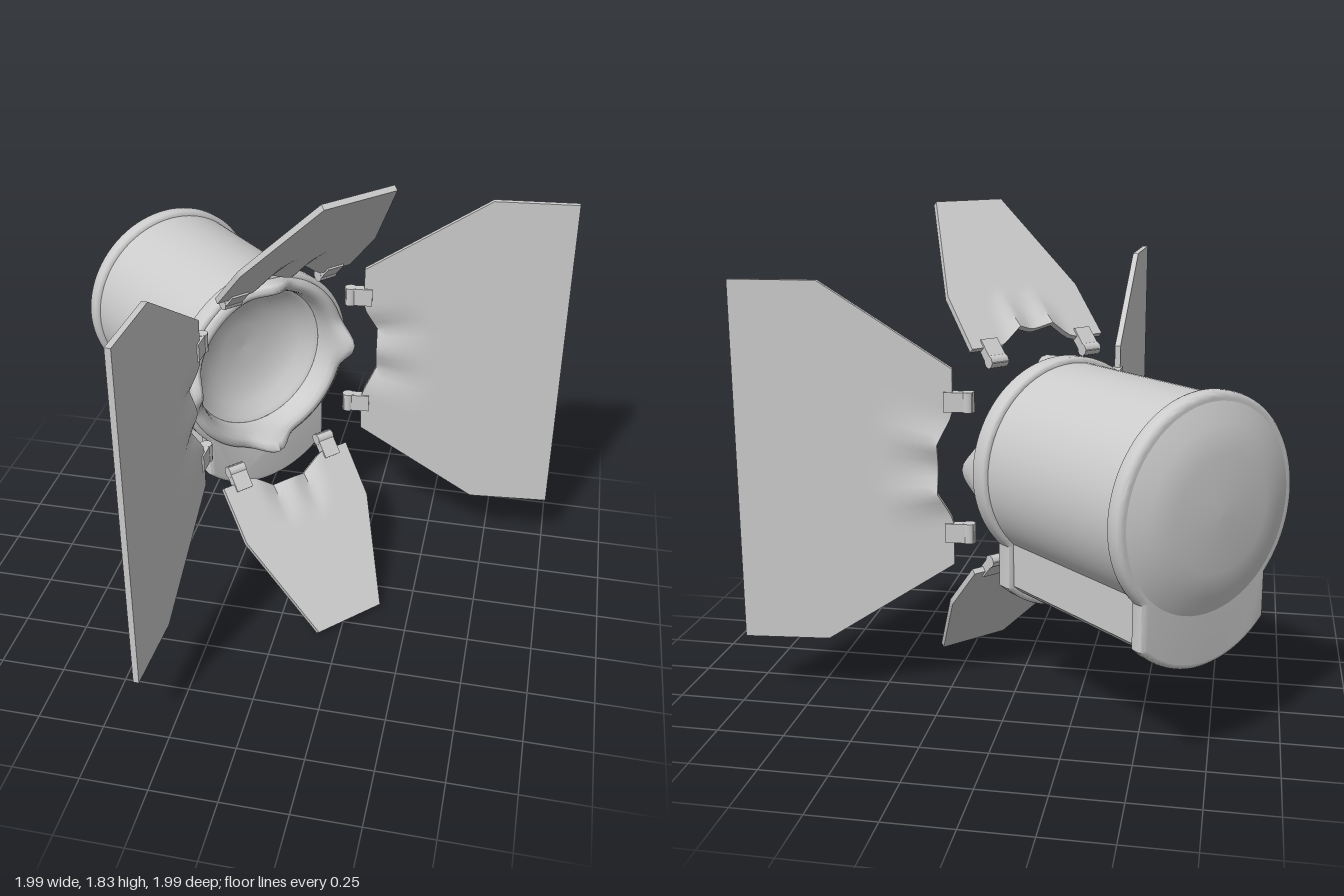
import * as THREE from 'three';
import { toCreasedNormals } from 'three/addons/utils/BufferGeometryUtils.js';

const material = new THREE.MeshStandardMaterial({ color: 0xcccccc, side: THREE.DoubleSide });

function add(parent, name, geometry) {
  const mesh = new THREE.Mesh(geometry, material);
  mesh.name = name;
  parent.add(mesh);
  return mesh;
}

// Round housing outline with a narrower, round-bottomed bay hanging below it
function housingShape(r, hole) {
  const w = r * 0.7, a = -Math.acos(0.7);
  const shape = new THREE.Shape();
  shape.moveTo(w, r * Math.sin(a));
  shape.absarc(0, 0, r, a, Math.PI - a, false);
  shape.lineTo(-w, -0.16 + r * Math.sin(a));
  shape.absarc(0, -0.16, r, Math.PI - a, 2 * Math.PI + a, false);
  if (hole) shape.holes.push(new THREE.Path().absarc(0, 0, hole, 0, Math.PI * 2, true));
  return shape;
}

function housingPart(r, z0, z1, bevel, hole) {
  const geometry = new THREE.ExtrudeGeometry(housingShape(r - bevel, hole && hole + bevel), {
    depth: z1 - z0 - 2 * bevel, curveSegments: 32,
    bevelEnabled: bevel > 0, bevelSize: bevel, bevelThickness: bevel, bevelSegments: 3,
  });
  geometry.translate(0, 0, z0 + bevel);
  return toCreasedNormals(geometry, 0.6);
}

function lathe(points, segments = 64) {
  const geometry = new THREE.LatheGeometry(points.map(([r, z]) => new THREE.Vector2(r, z)), segments);
  return geometry.rotateX(Math.PI / 2);
}

// Front ring whose lip swells into four pointed lugs
function lipGeometry() {
  const geometry = lathe([
    [0.36, -0.04], [0.372, -0.015], [0.368, 0.008], [0.35, 0.022], [0.33, 0.018],
    [0.315, 0], [0.305, -0.03], [0.298, -0.075],
  ], 96);
  const p = geometry.attributes.position;
  for (let i = 0; i < p.count; i++) {
    const x = p.getX(i), y = p.getY(i), z = p.getZ(i), r = Math.hypot(x, y);
    const lug = Math.max(0, Math.cos(4 * Math.atan2(y, x))) ** 3;
    const k = lug * THREE.MathUtils.smoothstep(r, 0.3, 0.345) * THREE.MathUtils.smoothstep(z, -0.04, 0.015);
    const grow = 1 + (0.012 * k) / r;
    p.setXYZ(i, x * grow, y * grow, z + 0.07 * k);
  }
  geometry.computeVertexNormals();
  return geometry;
}

// Door leaf: tapered plate with a notched, creased inner edge
function leafGeometry({ inner, middle, outer, kink, length }) {
  const geometry = new THREE.BoxGeometry(2, 0.022, 1, 24, 1, 20);
  const p = geometry.attributes.position;
  for (let i = 0; i < p.count; i++) {
    const v = p.getX(i), s = p.getZ(i) + 0.5, a = Math.abs(v);
    const half = s < kink
      ? THREE.MathUtils.lerp(inner, middle, s / kink)
      : THREE.MathUtils.lerp(middle, outer, (s - kink) / (1 - kink));
    const notch = 0.055 * THREE.MathUtils.clamp((0.55 - a) / 0.3, 0, 1) * (1 - s);
    const crease = Math.max(0, 1 - Math.abs(a - 0.25) / 0.22) * Math.max(0, 1 - s / 0.3);
    p.setXYZ(i, v * half, p.getY(i) + 0.03 * crease, s * length + notch);
  }
  geometry.computeVertexNormals();
  return toCreasedNormals(geometry, 0.7);
}

function makeDoor(name, spec, turn) {
  const door = new THREE.Group();
  door.name = name;
  door.rotation.z = turn;
  const tilt = new THREE.Group();
  tilt.name = name + 'Tilt';
  tilt.position.set(0, spec.radius, spec.z);
  tilt.rotation.x = -spec.elevation;
  door.add(tilt);
  add(tilt, 'leaf', leafGeometry(spec));
  for (const side of [-1, 1]) {
    // Hinge clip and its pin
    add(tilt, 'hingeClip', new THREE.BoxGeometry(0.072, 0.036, 0.105)).position.set(side * spec.hinge, 0, -0.02);
    const pin = add(tilt, 'hingePin', new THREE.CylinderGeometry(0.024, 0.024, 0.074, 12));
    pin.position.set(side * spec.hinge, 0, -0.055);
    pin.rotation.z = Math.PI / 2;
  }
  return door;
}

export function createModel() {
  const model = new THREE.Group();
  model.name = 'stageLight';
  const lamp = new THREE.Group();
  lamp.name = 'lamp';
  lamp.position.set(-0.15, 0.912, -0.165);
  lamp.rotation.y = 0.811;
  model.add(lamp);

  // Housing with front and rear rims
  add(lamp, 'housing', housingPart(0.37, -0.77, -0.03, 0, 0.32));
  add(lamp, 'frontRim', housingPart(0.39, -0.075, 0, 0.015, 0.31));
  add(lamp, 'rearRim', housingPart(0.39, -0.8, -0.735, 0.02));
  add(lamp, 'rearCap', lathe([[0, -0.862], [0.2, -0.856], [0.29, -0.83], [0.365, -0.797]]));

  // Lens opening
  add(lamp, 'frontLip', lipGeometry());
  add(lamp, 'reflector', lathe([
    [0.298, -0.075], [0.28, -0.085], [0.24, -0.125], [0.18, -0.155], [0.1, -0.175], [0, -0.18],
  ]));

  // Four barn doors: narrow ones above and below, wide ones at the sides
  const narrow = {
    inner: 0.3, middle: 0.297, outer: 0.152, kink: 0.35, length: 0.669,
    radius: 0.418, z: 0.125, elevation: Math.atan2(0.49, 0.455), hinge: 0.215,
  };
  const wide = {
    inner: 0.365, middle: 0.675, outer: 0.675, kink: 0.6, length: 0.8,
    radius: 0.385, z: 0.12, elevation: Math.atan2(0.6, 0.525), hinge: 0.245,
  };
  lamp.add(
    makeDoor('topDoor', narrow, 0),
    makeDoor('bottomDoor', narrow, Math.PI),
    makeDoor('leftDoor', wide, -Math.PI / 2),
    makeDoor('rightDoor', wide, Math.PI / 2),
  );
  return model;
}
